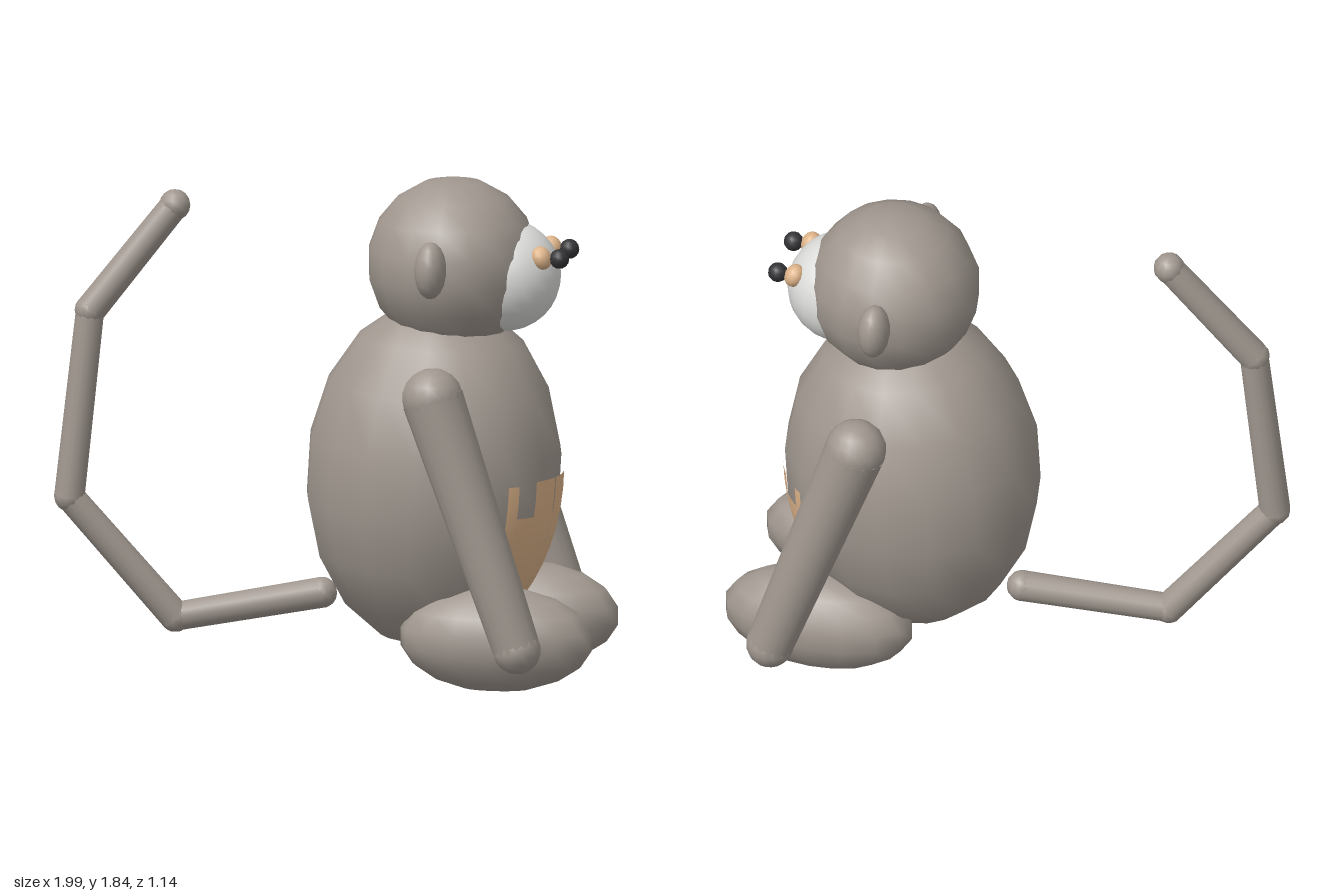
import * as THREE from 'three';

const mat = (name, color) => {
  const m = new THREE.MeshStandardMaterial({ color });
  m.name = name;
  return m;
};

export function createModel() {
  const fur = mat('grey fur', 0xa0978f);
  const tan = mat('tan skin', 0xdeb48a);
  const pale = mat('pale face', 0xdcdcda);
  const black = mat('black eye', 0x333336);
  const model = new THREE.Group();
  model.name = 'monkey';

  const add = (name, geometry, material, parent = model) => {
    const mesh = new THREE.Mesh(geometry, material);
    mesh.name = name;
    parent.add(mesh);
    return mesh;
  };
  const ellipsoid = (name, material, pos, radii, w = 16, h = 9) => {
    const mesh = add(name, new THREE.SphereGeometry(1, w, h), material);
    mesh.position.set(...pos);
    mesh.scale.set(...radii);
    return mesh;
  };
  const ball = (name, material, pos, r, w, h) => ellipsoid(name, material, pos, [r, r, r], w, h);
  // open tapered tube between two points
  const limb = (name, a, b, ra, rb) => {
    const p = new THREE.Vector3(...a), q = new THREE.Vector3(...b);
    const dir = q.clone().sub(p);
    const mesh = add(name, new THREE.CylinderGeometry(rb, ra, dir.length(), 16, 1), fur);
    mesh.position.copy(p).add(q).multiplyScalar(0.5);
    mesh.quaternion.setFromUnitVectors(new THREE.Vector3(0, 1, 0), dir.normalize());
    return mesh;
  };

  // body, leaning slightly forward, with the belly patch on its surface
  const bodyGroup = new THREE.Group();
  bodyGroup.name = 'bodyGroup';
  bodyGroup.position.set(0.36, 0.755, 0);
  bodyGroup.scale.set(0.47, 0.645, 0.44);
  bodyGroup.rotation.z = -0.06;
  model.add(bodyGroup);
  add('body', new THREE.SphereGeometry(1, 16, 9), fur, bodyGroup);

  // belly columns: start angle, end angle (degrees toward +z), height of ragged top edge
  const columns = [
    [-45, -40, 0.76], [-40, -28, 0.68], [-28, -11.5, 0.76], [-11.5, -10.5, 0.65], [-10.5, 10.5, 0.77],
    [10.5, 11.5, 0.65], [11.5, 28, 0.77], [28, 39, 0.64], [39, 45, 0.76],
  ];
  const rad = THREE.MathUtils.degToRad;
  for (const [a, b, top] of columns) {
    const t0 = Math.acos((top - 0.73) / 0.645), t1 = rad(138);
    const geo = new THREE.SphereGeometry(1.003, Math.ceil((b - a) / 6), 8, Math.PI - rad(b), rad(b - a), t0, t1 - t0);
    add('belly', geo, tan, bodyGroup);
  }

  // head and face
  ball('head', fur, [0.43, 1.53, 0], 0.314);
  ball('muzzle', pale, [0.622, 1.49, 0], 0.203, 24, 16);

  for (const s of [1, -1]) {
    const side = s > 0 ? 'left' : 'right';
    ellipsoid(side + 'Ear', fur, [0.408, 1.56, s * 0.332], [0.058, 0.105, 0.075]);
    ellipsoid(side + 'EyeSocket', tan, [0.775, 1.577, s * 0.105], [0.037, 0.044, 0.042], 12, 8).rotation.z = 0.4;
    ball(side + 'Eye', black, [0.84, 1.575, s * 0.1], 0.036, 12, 8);

    // arms hang forward from the shoulders
    const shoulder = [0.44, 1.112, s * 0.457], hand = [0.755, 0.202, s * 0.484];
    ball(side + 'Shoulder', fur, shoulder, 0.112);
    limb(side + 'Arm', shoulder, hand, 0.112, 0.086);
    ball(side + 'Hand', fur, hand, 0.088);

    // stubby sitting legs
    ellipsoid(side + 'Leg', fur, [0.637, 0.197, s * 0.262], [0.357, 0.192, 0.178]);
  }

  // jointed tail curling up behind
  const joints = [
    [-0.055, 0.295, -0.005], [-0.57, 0.213, 0.125], [-0.942, 0.662, 0.222],
    [-0.87, 1.345, 0.2], [-0.572, 1.73, 0.123],
  ];
  joints.forEach((p, i) => {
    ball('tailJoint', fur, p, 0.057, 12, 8);
    if (i) limb('tailSegment', joints[i - 1], p, 0.056, 0.052);
  });

  return model;
}
